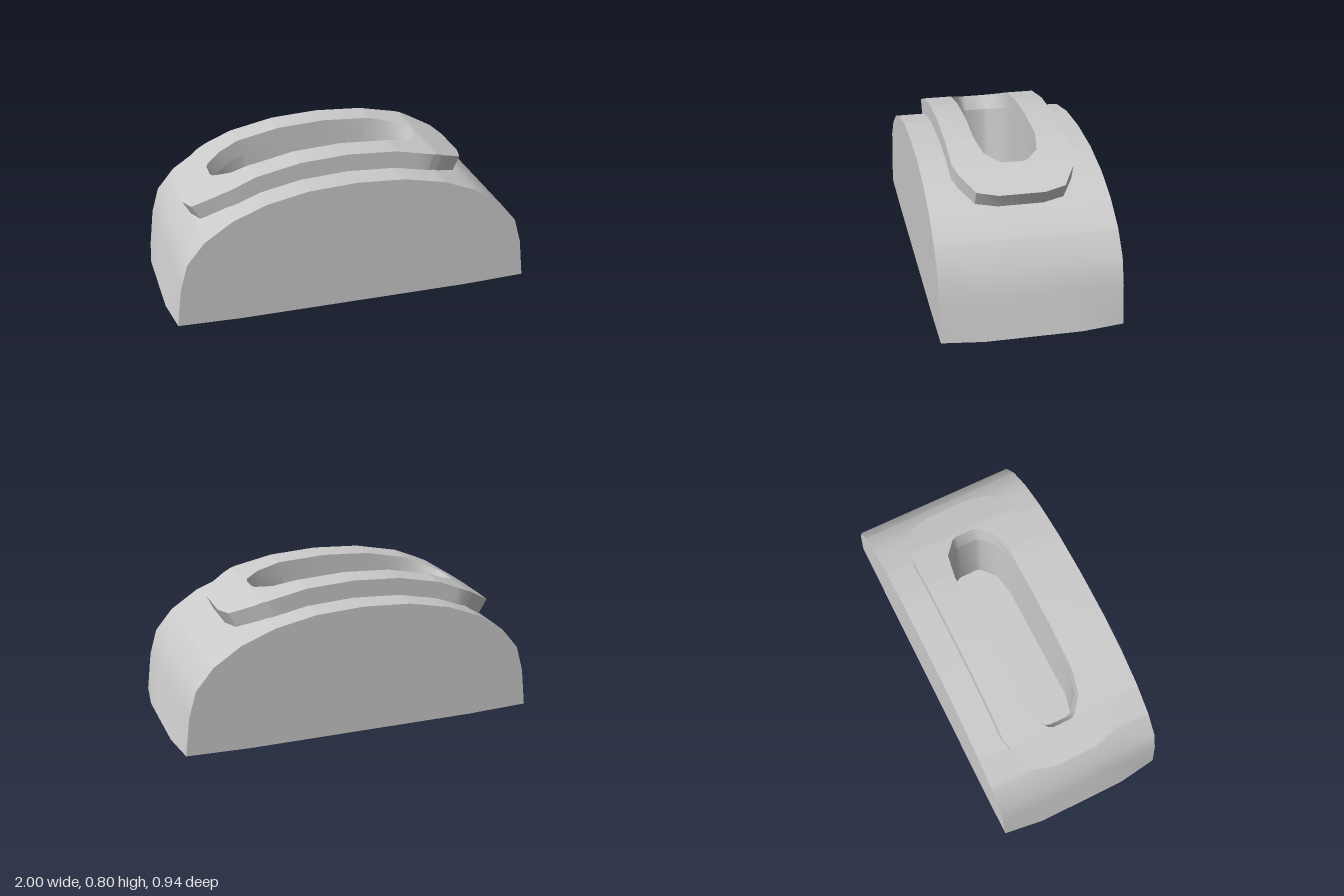
import * as THREE from 'three';
import { toCreasedNormals } from 'three/addons/utils/BufferGeometryUtils.js';

const material = new THREE.MeshStandardMaterial({ color: 0xcccccc, side: THREE.DoubleSide });

const HALF_DEPTH = 0.47, FLOOR_Y = 0.22;
const TAPER = 0.945; // rim walls lean towards the arch centre

// Knots [x, value] of the arch, the rim top, and the half widths of rim and slot
const mirrored = (half) => [...half.slice(1).reverse().map(([x, y]) => [-x, y]), ...half];
const ARCH = mirrored([[0, 0.705], [0.26, 0.69], [0.48, 0.645], [0.66, 0.575],
  [0.81, 0.475], [0.905, 0.36], [0.945, 0.22], [0.97, 0.01]]);
const RIM = mirrored([[0, 0.8], [0.26, 0.785], [0.5, 0.735], [0.69, 0.655], [0.86, 0.55]]);
const OUTER = [[-0.86, 0.12], [-0.83, 0.23], [-0.71, 0.3], [-0.64, 0.32],
  [0.47, 0.32], [0.54, 0.3], [0.66, 0.23], [0.69, 0.12]];
const SLOT = [[-0.69, 0.05], [-0.68, 0.075], [-0.6, 0.14], [-0.48, 0.165],
  [0.25, 0.165], [0.39, 0.14], [0.47, 0.075], [0.48, 0.05]];

// Clamped linear interpolation through knots
function at(knots, x) {
  if (x <= knots[0][0]) return knots[0][1];
  for (let i = 1; i < knots.length; i++) {
    const [x0, y0] = knots[i - 1], [x1, y1] = knots[i];
    if (x <= x1) return y0 + (y1 - y0) * (x - x0) / (x1 - x0);
  }
  return knots[knots.length - 1][1];
}

// Shared stations along x, so rim, slot and arch edges meet
const STATIONS = [...new Set([...RIM, ...OUTER, ...SLOT].map((k) => k[0])
  .concat(ARCH.map((k) => k[0] / TAPER)).map((x) => +x.toFixed(4)))].sort((a, b) => a - b);
const within = (knots) => STATIONS.filter((x) => x >= knots[0][0] && x <= knots[knots.length - 1][0]);
const inSlot = (x) => x >= SLOT[0][0] && x <= SLOT[SLOT.length - 1][0];

// Surface through rows of points; skip(i, j) leaves a cell open
function grid(rows, skip = () => false) {
  const n = rows[0].length, index = [];
  for (let i = 0; i < rows.length - 1; i++) {
    for (let j = 0; j < n - 1; j++) {
      if (skip(i, j)) continue;
      const a = i * n + j, b = a + n;
      index.push(a, a + 1, b, a + 1, b + 1, b);
    }
  }
  const g = new THREE.BufferGeometry();
  g.setAttribute('position', new THREE.Float32BufferAttribute(rows.flat(2), 3));
  g.setIndex(index);
  return toCreasedNormals(g, 0.7);
}

// Closed outline of rim or slot at a given height rule
function loop(knots, scale, height) {
  const xs = within(knots);
  const side = (s) => xs.map((x) => [x * scale, height(x), s * at(knots, x)]);
  const points = [...side(1), ...side(-1).reverse()];
  return [...points, points[0]];
}

export function createModel() {
  const group = new THREE.Group();
  const add = (name, geometry) => {
    const mesh = new THREE.Mesh(geometry, material);
    mesh.name = name;
    group.add(mesh);
    return mesh;
  };
  const archY = (x) => at(ARCH, x * TAPER);
  const rimY = (x) => at(RIM, x);

  // Arched shell with the slot cut out; its feet bulge a little at mid depth
  const archXs = within(ARCH.map(([x, y]) => [x / TAPER + Math.sign(x) * 0.001, y]));
  const archRows = archXs.map((x, i) => {
    const w = at(SLOT, x), foot = i === 0 || i === archXs.length - 1;
    return [-HALF_DEPTH, -0.25, -w, w, 0.25, HALF_DEPTH].map((z) => [
      x * TAPER + (foot && Math.abs(z) < 0.4 ? Math.sign(x) * 0.03 : 0), archY(x), z]);
  });
  add('archShell', grid(archRows, (i, j) => j === 2 && inSlot(archXs[i]) && inSlot(archXs[i + 1])));

  // Flat end walls
  const wall = new THREE.Shape([...ARCH, [0.63, 0], [-0.63, 0]].map(([x, y]) => new THREE.Vector2(x, y)));
  add('frontWall', new THREE.ShapeGeometry(wall)).position.z = HALF_DEPTH;
  const back = add('backWall', new THREE.ShapeGeometry(wall));
  back.position.z = -HALF_DEPTH;
  back.rotation.y = Math.PI;

  // Raised rim around the slot
  const rimXs = within(OUTER);
  const rimRows = rimXs.map((x) => {
    const o = at(OUTER, x), w = at(SLOT, x);
    return [-o, -w, w, o].map((z) => [x, rimY(x), z]);
  });
  add('rimTop', grid(rimRows, (i, j) => j === 1 && inSlot(rimXs[i]) && inSlot(rimXs[i + 1])));
  add('rimOuterWall', grid([loop(OUTER, TAPER, archY), loop(OUTER, 1, rimY)]));
  add('rimInnerWall', grid([loop(SLOT, 1, rimY), loop(SLOT, TAPER, archY)]));

  // Deep slot pocket with a flat floor
  const bottom = loop(SLOT, TAPER, () => FLOOR_Y);
  add('slotWall', grid([loop(SLOT, TAPER, archY), bottom]));
  const floor = add('slotFloor', new THREE.ShapeGeometry(
    new THREE.Shape(bottom.slice(0, -1).map(([x, , z]) => new THREE.Vector2(x, -z)))));
  floor.rotation.x = -Math.PI / 2;
  floor.position.y = FLOOR_Y;

  return group;
}
